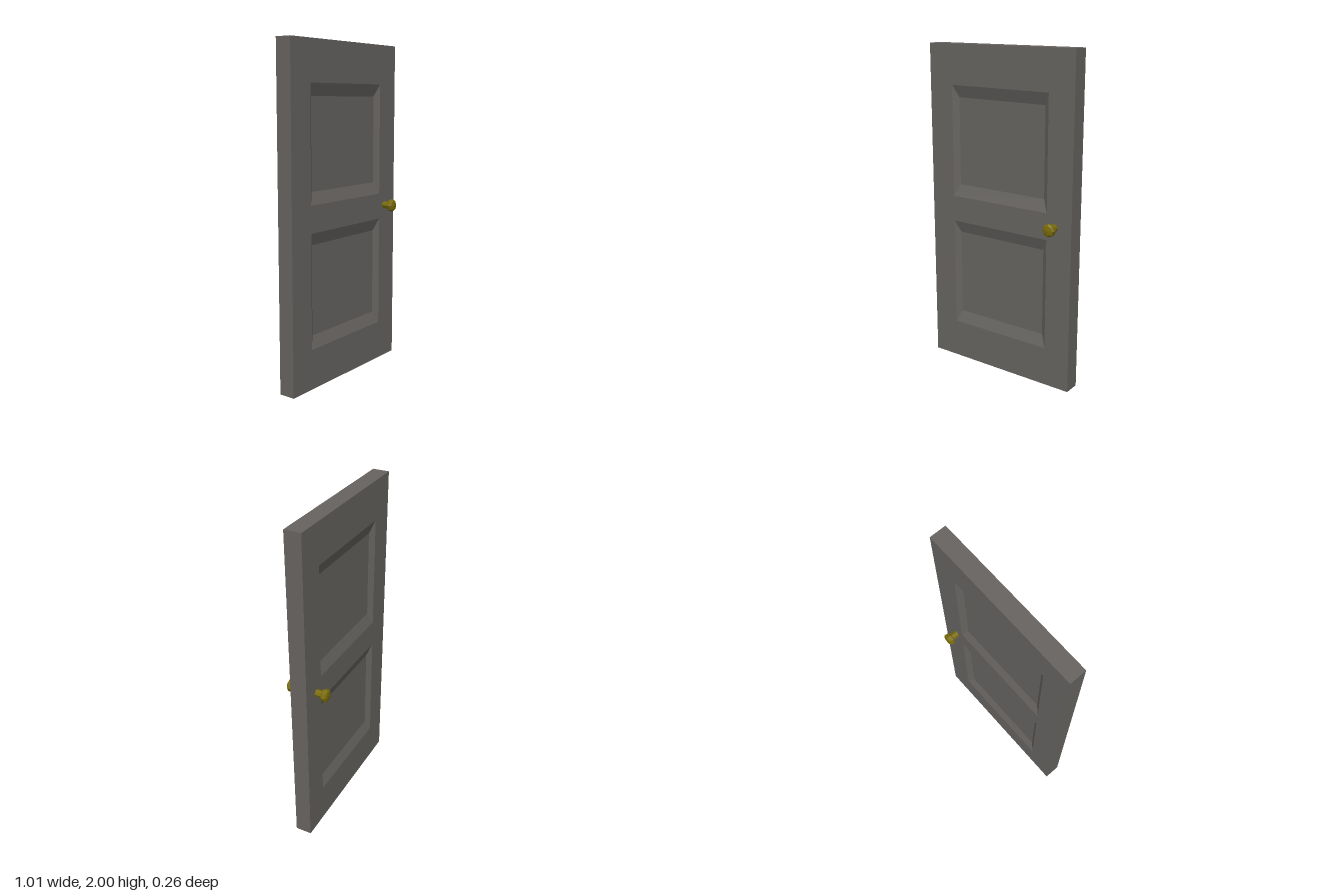
import * as THREE from 'three';

const W = 0.505, H = 2, D = 0.05; // half width, height, half thickness
const RECESS = 0.025;
const PANELS = [[0.24, 0.92], [1.08, 1.76]]; // bottom and top of each panel
const PANEL_X = 0.34, BEVEL_X = 0.035, BEVEL_Y = 0.073;

// Flat-faced geometry from quads, corners counter-clockwise from outside
function quads(list) {
  const pos = [];
  for (const [a, b, c, d] of list) pos.push(...a, ...b, ...c, ...a, ...c, ...d);
  const g = new THREE.BufferGeometry();
  g.setAttribute('position', new THREE.Float32BufferAttribute(pos, 3));
  g.computeVertexNormals();
  return g;
}

// Corners of a rectangle, counter-clockwise seen from +z
const rect = (x, y0, y1, z) => [[-x, y0, z], [x, y0, z], [x, y1, z], [-x, y1, z]];

// Strips joining two rectangles, corner by corner
const ring = (a, b) => a.map((p, i) => [p, a[(i + 1) % 4], b[(i + 1) % 4], b[i]]);

function named(name, geometry, material) {
  const mesh = new THREE.Mesh(geometry, material);
  mesh.name = name;
  return mesh;
}

// One face of the door: flat frame with two bevelled, recessed panels
function doorFace(material) {
  const g = new THREE.Group();
  const toPath = (Type, r) => new Type(r.map(([x, y]) => new THREE.Vector2(x, y)));
  const shape = toPath(THREE.Shape, rect(W, 0, H, D));
  for (const [y0, y1] of PANELS) {
    const outer = rect(PANEL_X, y0, y1, D);
    const inner = rect(PANEL_X - BEVEL_X, y0 + BEVEL_Y, y1 - BEVEL_Y, D - RECESS);
    shape.holes.push(toPath(THREE.Path, outer));
    g.add(named('recessedPanel', quads([...ring(outer, inner), inner]), material));
  }
  const frame = new THREE.ShapeGeometry(shape);
  frame.translate(0, 0, D);
  g.add(named('frame', frame, material));
  return g;
}

// Faceted knob on a short stem, pointing along +z
function knobGeometry() {
  const profile = [[0.022, 0.045], [0.022, 0.092], [0.033, 0.092], [0.038, 0.098],
    [0.038, 0.118], [0.03, 0.125], [0, 0.13]].map(([r, y]) => new THREE.Vector2(r, y));
  const lathe = new THREE.LatheGeometry(profile, 8);
  lathe.rotateX(Math.PI / 2);
  const flat = lathe.toNonIndexed();
  flat.computeVertexNormals();
  return flat;
}

export function createModel() {
  const model = new THREE.Group();
  model.name = 'door';
  const grey = new THREE.MeshStandardMaterial({ color: 0x666360 });
  grey.name = 'warm grey';
  const brass = new THREE.MeshStandardMaterial({ color: 0x7a6c08 });
  brass.name = 'dark brass';

  // Narrow edges around the slab
  model.add(named('doorEdges', quads(ring(rect(W, 0, H, -D), rect(W, 0, H, D))), grey));

  // Front and back faces, each with its knob
  const knob = knobGeometry();
  for (const side of [1, -1]) {
    const half = new THREE.Group();
    half.name = side > 0 ? 'frontSide' : 'backSide';
    half.add(doorFace(grey));
    const handle = named('knob', knob, brass);
    handle.position.set(0.394 * side, 1.003, 0);
    half.add(handle);
    half.rotation.y = side > 0 ? 0 : Math.PI;
    model.add(half);
  }
  return model;
}
